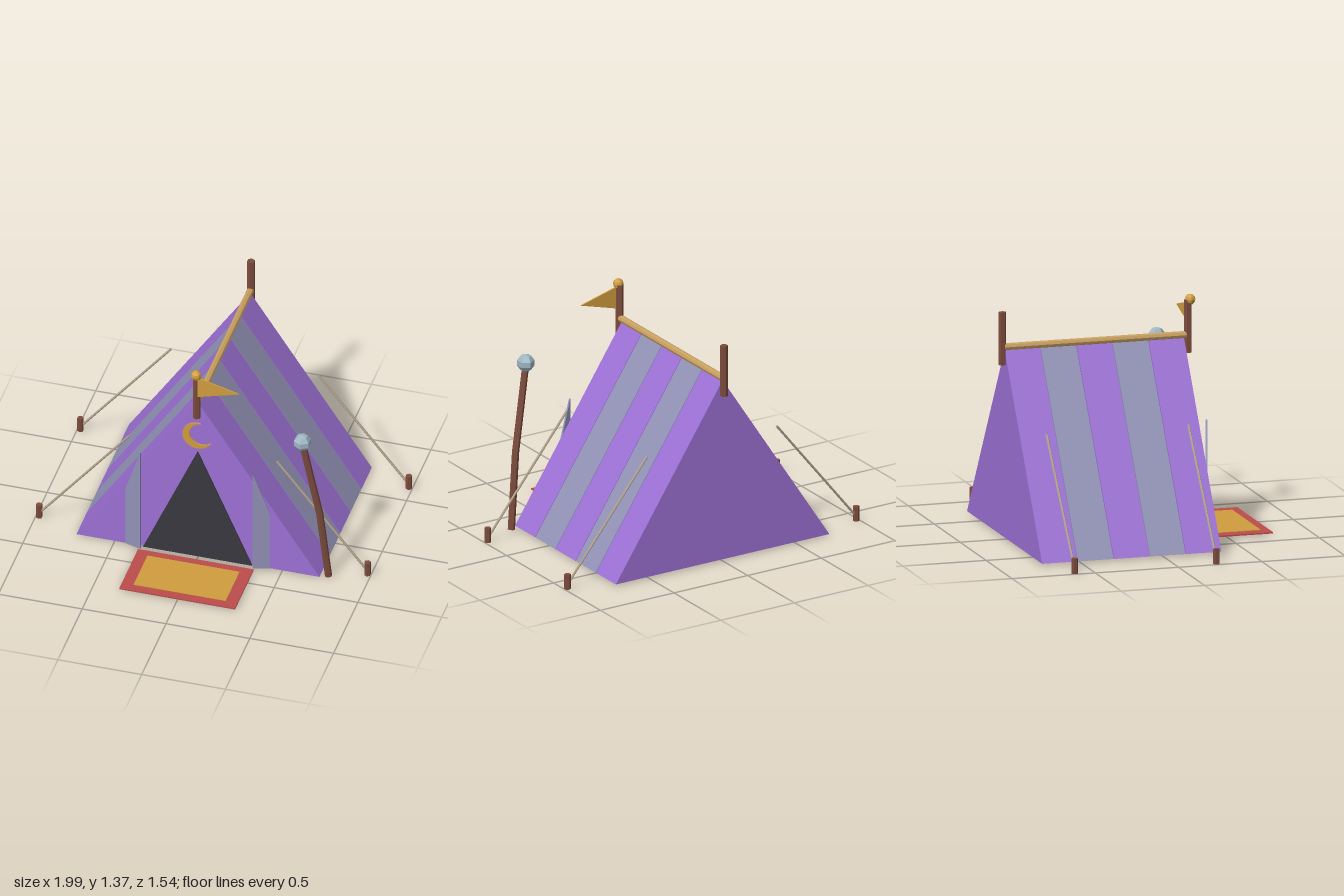
import * as THREE from 'three';

const mat = (name, color, extra = {}) => {
  const m = new THREE.MeshStandardMaterial({ color, flatShading: true, ...extra });
  m.name = name;
  return m;
};

export function createModel() {
  const purple = mat('purple canvas', 0x9c70d4);
  const grey = mat('grey canvas', 0x9191b6);
  const dark = mat('dark opening', 0x3a3840);
  const gold = mat('gold', 0xd09c3e);
  const lightWood = mat('light wood', 0xc8a060);
  const brown = mat('brown wood', 0x7c4c3c);
  const red = mat('red cloth', 0xba4c4a);
  const crystal = mat('pale crystal', 0x9fb6c4);
  const rope = mat('rope', 0xb0a18c);

  const model = new THREE.Group();
  model.name = 'tent';

  const add = (name, geometry, material, x = 0, y = 0, z = 0) => {
    const mesh = new THREE.Mesh(geometry, material);
    mesh.name = name;
    mesh.position.set(x, y, z);
    model.add(mesh);
    return mesh;
  };
  const polygon = (points) => new THREE.Shape(points.map(([x, y]) => new THREE.Vector2(x, y)));
  const slab = (shape, depth) =>
    new THREE.ExtrudeGeometry(shape, { depth, bevelEnabled: false, curveSegments: 20 });
  // Round bar between two points
  const bar = (name, from, to, r0, r1, sides, material) => {
    const a = new THREE.Vector3(...from), b = new THREE.Vector3(...to);
    const dir = b.clone().sub(a);
    const mesh = add(name, new THREE.CylinderGeometry(r1, r0, dir.length(), sides), material);
    mesh.position.copy(a).add(b).multiplyScalar(0.5);
    mesh.quaternion.setFromUnitVectors(new THREE.Vector3(0, 1, 0), dir.normalize());
    return mesh;
  };

  // Tent body: five striped triangular sections
  const section = polygon([[-0.725, 0.015], [0.725, 0.015], [0, 1.12]]);
  const width = 0.216;
  for (let i = 0; i < 5; i++) {
    add('canvasSection', slab(section, width - 0.004), i % 2 ? grey : purple,
      0, 0, 0.347 - (i + 1) * width);
  }

  // Doorway and its tied-back flaps
  add('doorway', slab(polygon([[-0.325, 0.017], [0.325, 0.017], [0, 0.77]]), 0.008), dark, 0, 0, 0.345);
  for (const side of [1, -1]) {
    const outline = [[0, 0.018], [0, 0.705], [-0.1, 0.41], [-0.1, 0.018]];
    const flap = add('doorFlap', slab(polygon(outline.map(([x, y]) => [-x * side, y])), 0.01),
      grey, 0.333 * side, 0, 0.37);
    flap.rotation.y = 0.3 * side;
  }

  // Crescent emblem: outer arc, then back along an offset inner arc
  const R = 0.09, r = 0.0745, d = 0.03, half = 0.87;
  const inner = Math.atan2(R * Math.sin(half), R * Math.cos(half) - d);
  const crescent = new THREE.Shape();
  crescent.absarc(0, 0, R, half, Math.PI * 2 - half, false);
  crescent.absarc(d, 0, r, Math.PI * 2 - inner, inner, true);
  add('crescentEmblem', slab(crescent, 0.009), gold, 0, 0.885, 0.346).rotation.z = 0.47;

  // Ridge pole and end posts
  bar('ridgePole', [0, 1.135, -0.735], [0, 1.135, 0.355], 0.021, 0.021, 8, lightWood);
  for (const z of [0.367, -0.748]) {
    add('endPost', new THREE.CylinderGeometry(0.023, 0.023, 0.31, 6), brown, 0, 1.185, z);
  }

  // Finial and pennant
  add('finial', new THREE.SphereGeometry(0.032, 8, 6), gold, 0, 1.34, 0.38);
  add('pennant', slab(polygon([[0.01, 1.19], [0.255, 1.26], [0.01, 1.325]]), 0.009), gold, 0, 0, 0.376);

  // Guy ropes and pegs
  for (const side of [1, -1]) {
    for (const z of [0.233, -0.618]) {
      bar('guyRope', [0.97 * side, 0.045, z], [0.44 * side, 0.705, z], 0.007, 0.007, 6, rope);
      add('peg', new THREE.CylinderGeometry(0.019, 0.019, 0.09, 6), brown, 0.98 * side, 0.05, z);
    }
  }

  // Rug with inset panel
  add('rugBorder', new THREE.BoxGeometry(0.69, 0.008, 0.385), red, 0, 0.016, 0.578);
  add('rugPanel', new THREE.BoxGeometry(0.55, 0.006, 0.285), gold, 0, 0.02, 0.576);

  // Leaning staff with faceted crystal
  const staff = [[0.77, 0.012, 0.312], [0.725, 0.47, 0.338], [0.638, 0.95, 0.372]];
  bar('staffLower', staff[0], staff[1], 0.021, 0.021, 6, brown);
  bar('staffUpper', staff[1], staff[2], 0.021, 0.02, 6, brown);
  add('staffCrystal', new THREE.SphereGeometry(0.053, 6, 5), crystal, 0.632, 0.99, 0.375)
    .rotation.y = Math.PI / 2;

  return model;
}
